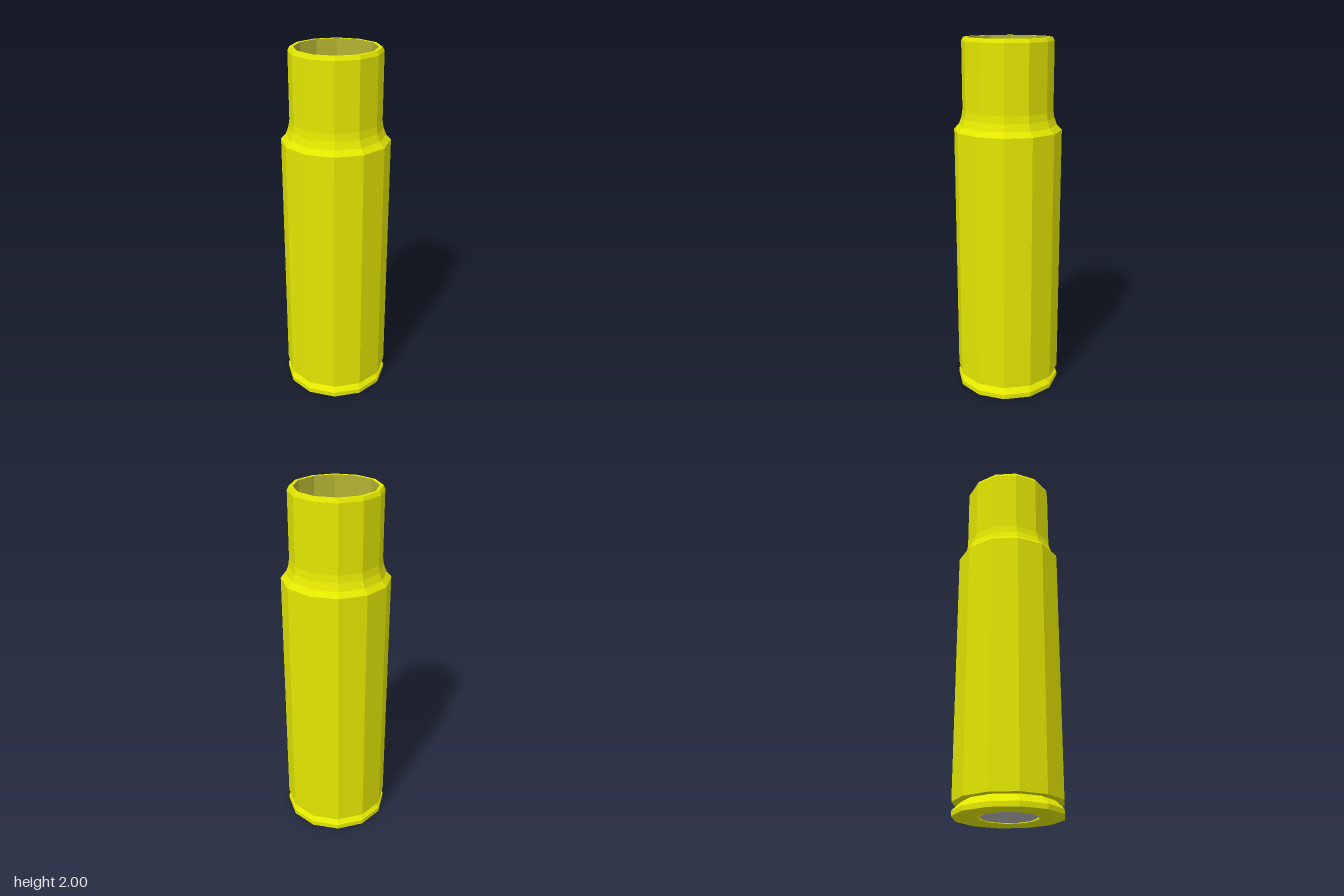
import * as THREE from 'three';

const SIDES = 12;

export function createModel() {
  const group = new THREE.Group();
  const material = (name, color) => {
    const m = new THREE.MeshStandardMaterial({ color });
    m.name = name;
    return m;
  };
  const brass = material('brass', 0xe5e900);
  const dullBrass = material('dull brass', 0xb4b432);
  const black = material('black', 0x000000);
  const steel = material('steel', 0xb4b4ba);

  // Faceted ring of revolution; profile points are [radius, height]
  const turned = (name, profile, mat) => {
    const points = profile.map(([r, y]) => new THREE.Vector2(r, y));
    const geometry = new THREE.LatheGeometry(points, SIDES).toNonIndexed();
    geometry.computeVertexNormals();
    const mesh = new THREE.Mesh(geometry, mat);
    mesh.name = name;
    group.add(mesh);
  };

  // Primer pocket, base rim and the undercut extractor groove
  turned('baseRim', [[0.16, 0.015], [0.16, 0], [0.297, 0], [0.297, 0.027], [0.25, 0.072]], brass);

  // Body, shoulder, neck and mouth lip
  turned('caseBody', [
    [0.25, 0.072], [0.297, 0.072], [0.297, 1.507],
    [0.27, 1.535], [0.255, 1.575], [0.249, 1.615],
    [0.249, 1.98], [0.239, 2], [0.22, 2],
  ], brass);

  // Hollow mouth
  turned('innerWall', [[0.22, 2], [0.22, 1.5]], dullBrass);
  turned('innerFloor', [[0.22, 1.5], [0, 1.5]], black);

  // Primer with a bevelled edge, seated in its pocket
  turned('primer', [[0, 0.002], [0.146, 0.002], [0.16, 0.015]], steel);

  return group;
}
